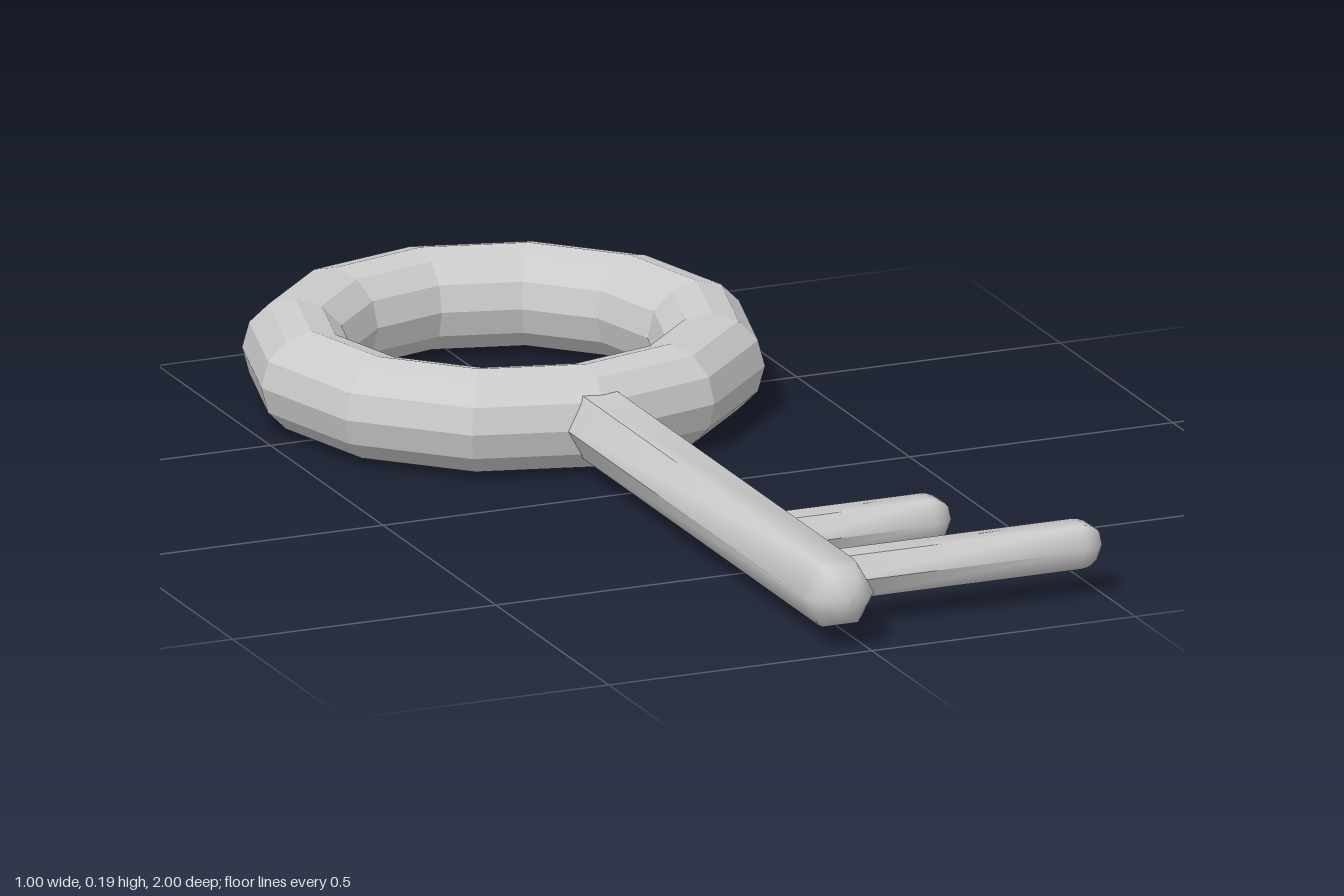
import * as THREE from 'three';

const material = new THREE.MeshStandardMaterial({ color: 0xcccccc });
const ringMaterial = new THREE.MeshStandardMaterial({ color: 0xcccccc, flatShading: true });
const MID = 0.0935; // height of the centre plane
const AXIS = -0.04; // x of the shaft axis

// Six-sided rod with a domed tip: crisp edges at the root that soften towards the tip
function rod(radius, length, phiStart) {
  const profile = [new THREE.Vector2(radius, 0)];
  const steps = 6;
  for (let i = 0; i <= steps; i++) {
    const a = (i / steps) * Math.PI / 2;
    profile.push(new THREE.Vector2(i === steps ? 0 : radius * Math.cos(a), length - radius + radius * Math.sin(a)));
  }
  const geometry = new THREE.LatheGeometry(profile, 6, phiStart).toNonIndexed();
  const flat = geometry.clone();
  flat.computeVertexNormals();
  const position = geometry.attributes.position;
  const normal = geometry.attributes.normal;
  const flatNormal = flat.attributes.normal;
  for (let i = 0; i < position.count; i++) {
    if (position.getY(i) < 1e-4) {
      normal.setXYZ(i, flatNormal.getX(i), flatNormal.getY(i), flatNormal.getZ(i));
    }
  }
  return geometry;
}

export function createModel() {
  const group = new THREE.Group();
  group.name = 'key';

  const add = (name, geometry, mat, x, y, z) => {
    const mesh = new THREE.Mesh(geometry, mat);
    mesh.name = name;
    mesh.position.set(x, y, z);
    group.add(mesh);
  };

  // Ring handle
  add('ringHandle', new THREE.TorusGeometry(0.3665, 0.0935, 12, 12).rotateX(Math.PI / 2),
    ringMaterial, AXIS, MID, -0.54);

  // Shaft, running forward from inside the ring
  add('shaft', rod(0.066, 1.17, Math.PI / 2).rotateX(Math.PI / 2), material, AXIS, MID, -0.17);

  // Two teeth reaching to the left: [name, z, tip x]
  for (const [name, z, tip] of [['shortTooth', 0.607, 0.315], ['longTooth', 0.845, 0.5]]) {
    add(name, rod(0.046, tip - AXIS, 0).rotateZ(-Math.PI / 2), material, AXIS, MID, z);
  }

  return group;
}
